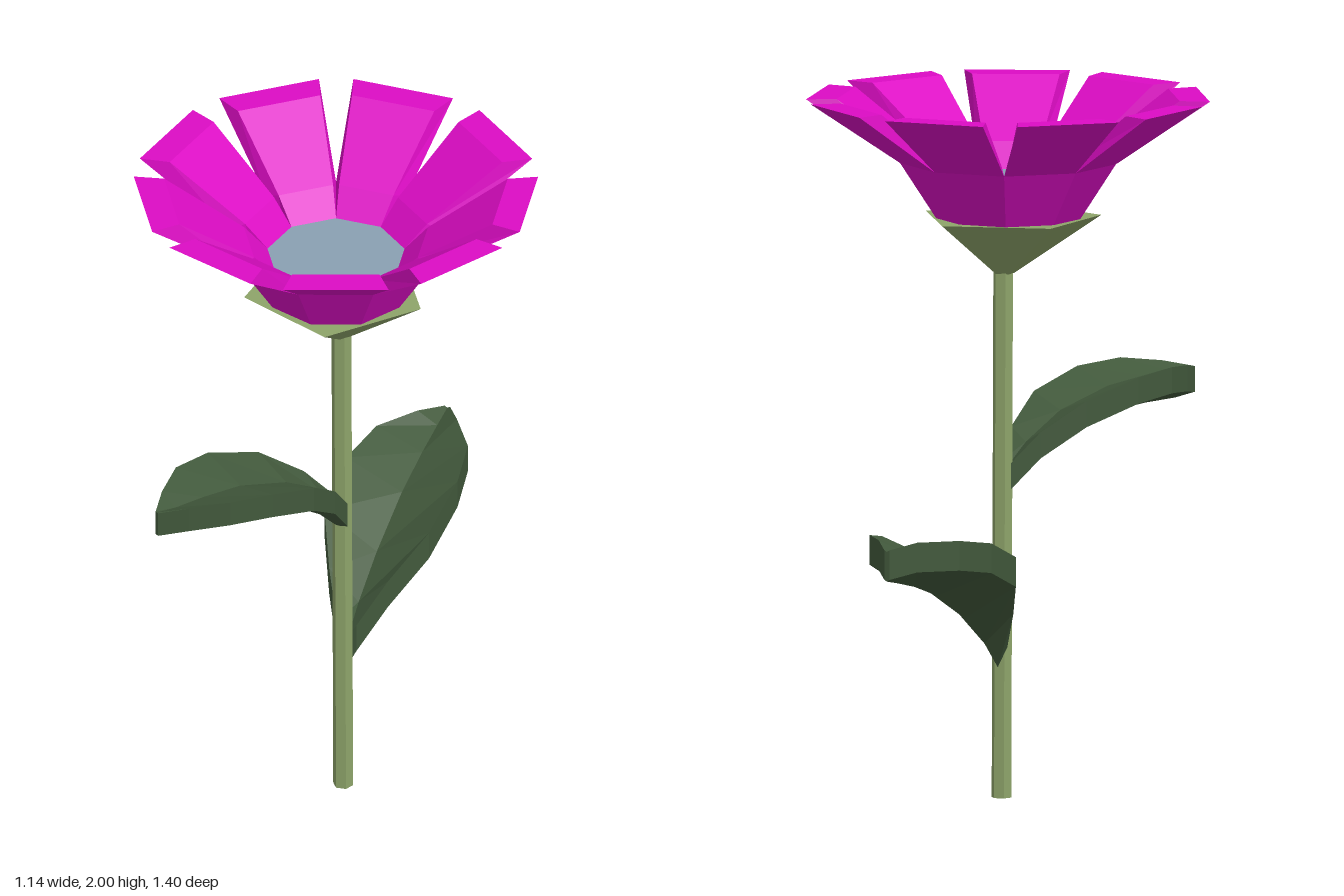
import * as THREE from 'three';

const mat = (name, color) => {
  const m = new THREE.MeshStandardMaterial({ color });
  m.name = name;
  return m;
};

// Faceted geometry: every face keeps its own normal
function faceted(geo) {
  const g = geo.index ? geo.toNonIndexed() : geo;
  g.computeVertexNormals();
  return g;
}

// Closed solid through rings of points, each counter-clockwise seen from the far end
function loft(rings) {
  const n = rings[0].length, index = [];
  for (let i = 0; i < rings.length - 1; i++) {
    for (let j = 0; j < n; j++) {
      const a = i * n + j, b = i * n + (j + 1) % n;
      index.push(a, b, b + n, a, b + n, a + n);
    }
  }
  const last = (rings.length - 1) * n;
  for (let j = 1; j < n - 1; j++) {
    index.push(0, j + 1, j, last, last + j, last + j + 1);
  }
  const geo = new THREE.BufferGeometry();
  geo.setAttribute('position', new THREE.Float32BufferAttribute(rings.flat(2), 3));
  geo.setIndex(index);
  return faceted(geo);
}

// Leaf with a V-shaped section; rows are [t, half width, mid height, edge height]
function leafGeometry(start, end, thick, rows) {
  const dx = end[0] - start[0], dz = end[1] - start[1], len = Math.hypot(dx, dz);
  return loft(rows.map(([t, w, mid, edge]) => {
    const at = (s, y) => [start[0] + dx * t - s * dz / len, y, start[1] + dz * t + s * dx / len];
    return [at(-w, edge - thick), at(-w, edge), at(0, mid), at(w, edge), at(w, edge - thick), at(0, mid - thick)];
  }));
}

export function createModel() {
  const group = new THREE.Group();
  group.name = 'flower';
  const magenta = mat('petal magenta', 0xdc0cc4);
  const blueGrey = mat('centre blue grey', 0x8aa0b2);
  const stemGreen = mat('stem green', 0x8ea46a);
  const leafGreen = mat('leaf green', 0x42593c);
  const add = (name, geo, material, parent = group) => {
    const mesh = new THREE.Mesh(geo, material);
    mesh.name = name;
    parent.add(mesh);
    return mesh;
  };

  // Stem, leaning very slightly
  const stemGeo = new THREE.CylinderGeometry(0.029, 0.029, 1.53, 6);
  stemGeo.translate(0, 0.765, 0);
  const p = stemGeo.attributes.position;
  for (let i = 0; i < p.count; i++) {
    const t = p.getY(i) / 1.53;
    p.setX(i, p.getX(i) + 0.01 - 0.007 * t);
    p.setZ(i, p.getZ(i) + 0.024);
  }
  add('stem', faceted(stemGeo), stemGreen);

  // Flower head
  const head = new THREE.Group();
  head.name = 'flowerHead';
  head.position.set(0, 0, 0.043);
  group.add(head);

  // Five-sided calyx, its foot gathered onto the stem
  const calyx = new THREE.CylinderGeometry(0.265, 0.03, 0.16, 5, 1, false, THREE.MathUtils.degToRad(109));
  calyx.translate(0, 1.58, 0);
  const c = calyx.attributes.position;
  for (let i = 0; i < c.count; i++) {
    if (c.getY(i) < 1.55) c.setXYZ(i, c.getX(i) + 0.003, c.getY(i), c.getZ(i) - 0.017);
  }
  add('calyx', faceted(calyx), stemGreen, head);

  // Nine-sided centre
  const turn = THREE.MathUtils.degToRad(6);
  const step = Math.PI * 2 / 9;
  const centre = new THREE.CylinderGeometry(0.197, 0.197, 0.1, 9, 1, false, Math.PI / 2 - turn - step / 2);
  centre.translate(0, 1.72, 0);
  add('flowerCentre', faceted(centre), blueGrey, head);

  // Petals: joined as a cup below, split above; rows are outer and inner [radius, y, half width]
  const tan = Math.tan(step / 2);
  const petalRows = [
    [[0.195, 1.66, 0.195 * tan], [0.185, 1.77, 0.185 * tan]],
    [[0.292, 1.82, 0.292 * tan], [0.25, 1.84, 0.082]],
    [[0.555, 2, 0.15], [0.472, 2, 0.124]],
  ];
  for (let k = 0; k < 9; k++) {
    const a = turn + k * step, ca = Math.cos(a), sa = Math.sin(a);
    const at = ([r, y, h], side) => [r * ca - side * h * sa, y, r * sa + side * h * ca];
    const rings = petalRows.map(([o, i]) => [at(o, -1), at(i, -1), at(i, 1), at(o, 1)]);
    add('petal' + (k + 1), loft(rings), magenta, head);
  }

  // Upper leaf to the front, lower leaf to the back
  add('frontLeaf', leafGeometry([0.01, 0.03], [-0.07, 0.7], 0.075, [
    [0, 0.025, 0.93, 0.95], [0.12, 0.07, 1.01, 1.045], [0.3, 0.125, 1.09, 1.13],
    [0.55, 0.145, 1.145, 1.185], [0.75, 0.122, 1.16, 1.2], [0.9, 0.06, 1.165, 1.19],
    [1, 0.006, 1.175, 1.175],
  ]), leafGreen);
  add('backLeaf', leafGeometry([0, 0], [-0.28, -0.7], 0.085, [
    [0, 0.03, 0.46, 0.52], [0.12, 0.09, 0.54, 0.63], [0.3, 0.16, 0.63, 0.73],
    [0.55, 0.17, 0.72, 0.795], [0.75, 0.14, 0.765, 0.82], [0.9, 0.06, 0.79, 0.825],
    [1, 0.008, 0.805, 0.81],
  ]), leafGreen);

  return group;
}
